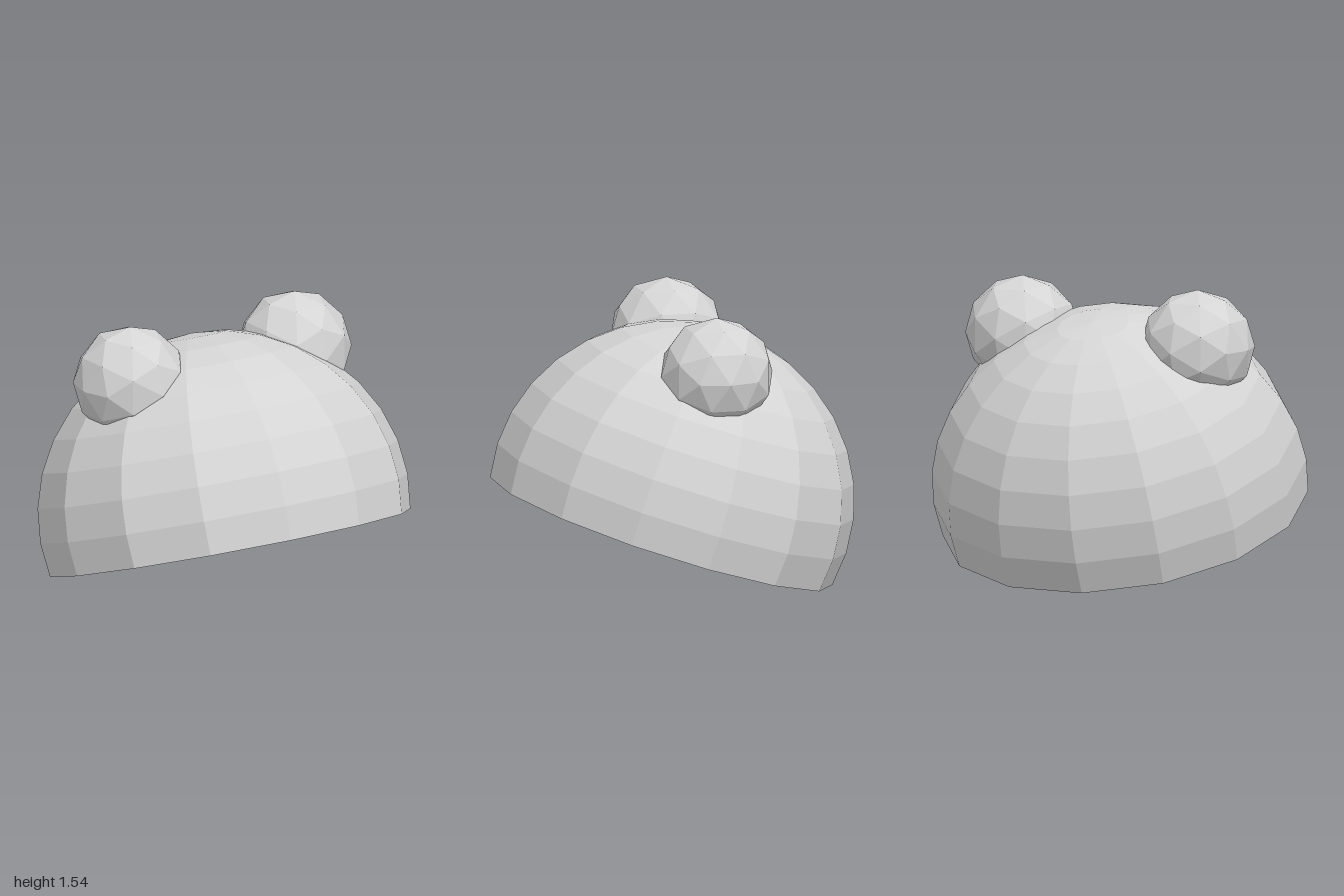
import * as THREE from 'three';

export function createModel() {
  const group = new THREE.Group();
  group.name = 'earedCap';

  const grey = new THREE.MeshStandardMaterial({ color: 0xd4d4d4, flatShading: true, side: THREE.DoubleSide });
  grey.name = 'light grey';

  // Open faceted shell: 14 sides, cut one ring below the equator, tilted back
  const dome = new THREE.Mesh(
    new THREE.SphereGeometry(1, 14, 9, 0, Math.PI * 2, 0, Math.PI * 9 / 16), grey);
  dome.name = 'dome';
  dome.scale.set(1, 0.94, 0.963);
  dome.rotation.x = -0.322;
  dome.position.set(0, 0.466, 0.003);
  group.add(dome);

  // Round low-poly ears, mirrored across the centre
  for (const side of [1, -1]) {
    const ear = new THREE.Mesh(new THREE.IcosahedronGeometry(0.302, 1), grey);
    ear.name = side > 0 ? 'leftEar' : 'rightEar';
    ear.position.set(side * 0.525, 1.24, -0.105);
    group.add(ear);
  }
  return group;
}
